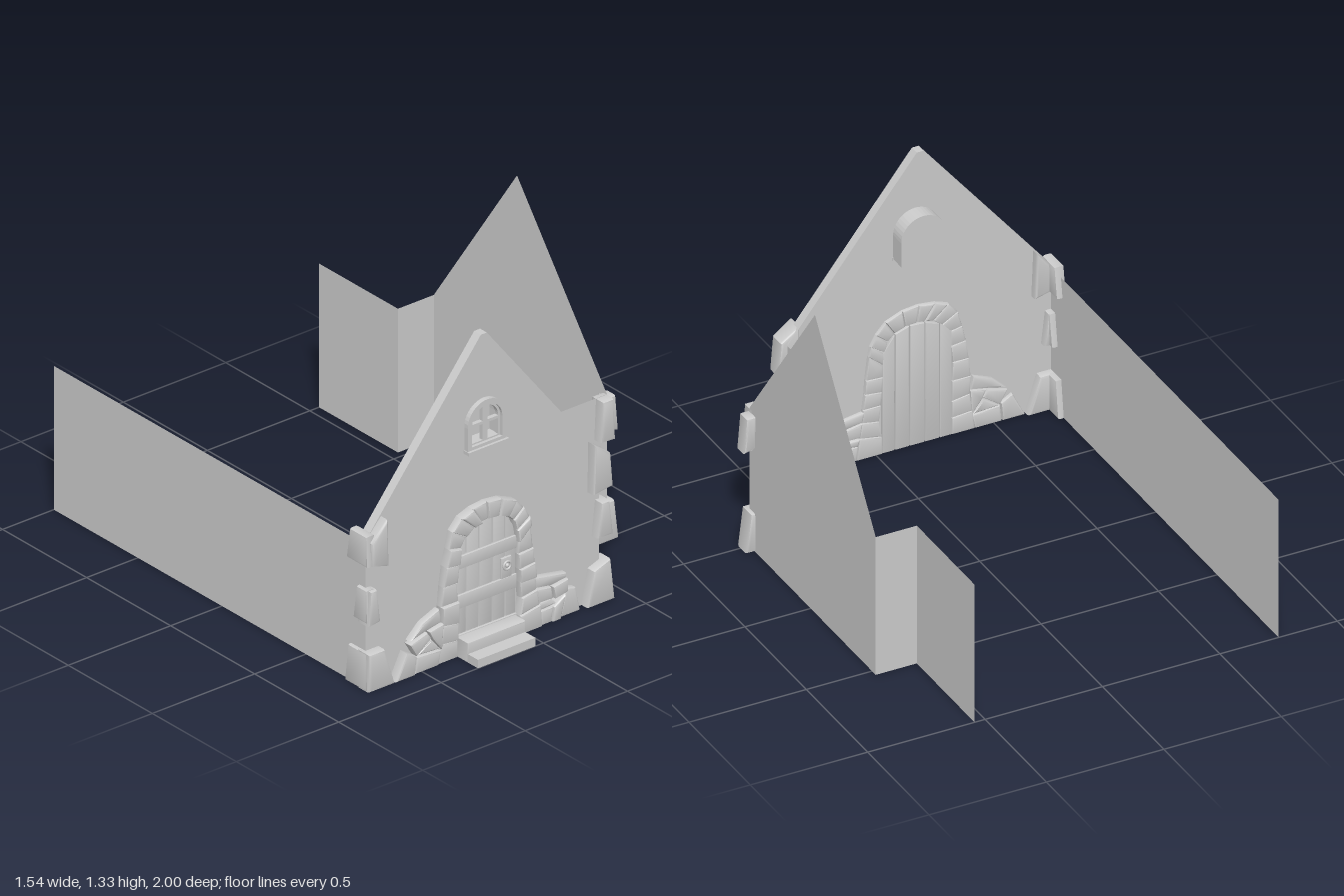
import * as THREE from 'three';
import { toCreasedNormals } from 'three/addons/utils/BufferGeometryUtils.js';

const solid = new THREE.MeshStandardMaterial({ color: 0xcccccc });
const thin = new THREE.MeshStandardMaterial({ color: 0xcccccc, side: THREE.DoubleSide });
const FACE = 0.855; // z of the facade

// Facade outlines use a fine drafting grid: 243 cells per unit, y down
const toUnits = ([x, y]) => new THREE.Vector2((x - 238) / 243, (386 - y) / 243);
const outline = (pts) => new THREE.Shape(pts.map(toUnits));

function add(parent, name, geometry, material = solid) {
  const mesh = new THREE.Mesh(geometry, material);
  mesh.name = name;
  parent.add(mesh);
  return mesh;
}

function box(parent, name, x0, x1, y0, y1, z0, z1) {
  const mesh = add(parent, name, new THREE.BoxGeometry(x1 - x0, y1 - y0, z1 - z0));
  mesh.position.set((x0 + x1) / 2, (y0 + y1) / 2, (z0 + z1) / 2);
  return mesh;
}

// Flat extrusion between two depths
function slab(parent, name, shape, z0, z1) {
  const g = new THREE.ExtrudeGeometry(shape, { depth: z1 - z0, bevelEnabled: false, curveSegments: 10 });
  return add(parent, name, g.translate(0, 0, z0));
}

// Stone with softened edges
function stone(parent, name, shape, z0, z1, b = 0.009) {
  const g = new THREE.ExtrudeGeometry(shape, {
    depth: z1 - z0 - 2 * b, bevelThickness: b, bevelSize: b, bevelOffset: -b, bevelSegments: 2,
  });
  return add(parent, name, toCreasedNormals(g.translate(0, 0, z0 + b), 0.7));
}

// Thin convex wall from its corners
function sheet(parent, name, corners) {
  const g = new THREE.BufferGeometry();
  g.setAttribute('position', new THREE.Float32BufferAttribute(corners.flat(), 3));
  const index = [];
  for (let i = 1; i < corners.length - 1; i++) index.push(0, i, i + 1);
  g.setIndex(index);
  g.computeVertexNormals();
  return add(parent, name, g, thin);
}

// Round-topped outline
function archPath(Type, cx, y0, spring, r) {
  const p = new Type();
  p.moveTo(cx - r, y0);
  p.lineTo(cx + r, y0);
  p.lineTo(cx + r, spring);
  p.absarc(cx, spring, r, 0, Math.PI, false);
  p.closePath();
  return p;
}

const WIN = { x: -0.173, y: 0.848, spring: 0.955, r: 0.095 };

function buildWalls(root) {
  const walls = new THREE.Group();
  walls.name = 'walls';
  root.add(walls);
  const roofline = [[-0.75, 0.63], [-0.187, 1.322], [-0.158, 1.322], [0.39, 0.625]];
  const facade = new THREE.Shape([[-0.75, 0], [0.39, 0], ...[...roofline].reverse()]
    .map(([x, y]) => new THREE.Vector2(x, y)));
  facade.holes.push(archPath(THREE.Path, WIN.x, WIN.y + 0.02, WIN.spring, WIN.r - 0.02));
  add(walls, 'facade', new THREE.ShapeGeometry(facade, 12).translate(0, 0, FACE), thin);
  for (let i = 0; i < 3; i++) {
    const [a, b] = [roofline[i], roofline[i + 1]];
    sheet(walls, 'facadeTopEdge', [[...a, FACE], [...b, FACE], [...b, 0.815], [...a, 0.815]]);
  }
  // Upright walls along the ground plan
  const H = 0.615;
  const upright = (name, x0, z0, x1, z1) =>
    sheet(walls, name, [[x0, 0, z0], [x1, 0, z1], [x1, H, z1], [x0, H, z0]]);
  upright('rightLongWall', -0.75, -1, -0.75, FACE);
  upright('leftFrontWall', 0.39, FACE, 0.39, 0.5);
  upright('wingFrontWall', 0.39, 0.5, 0.72, 0.5);
  upright('wingBackWall', 0.72, -0.53, 0.545, -0.53);
  upright('leftBackWall', 0.545, -0.53, 0.545, -1);
  sheet(walls, 'wingGable',
    [[0.72, 0, 0.5], [0.72, 0, -0.53], [0.72, H, -0.53], [0.72, 1.33, -0.035], [0.72, H, 0.5]]);
}

function buildDoor(root) {
  const door = new THREE.Group();
  door.name = 'door';
  root.add(door);
  // Planks with tops following the arch
  const tops = [[160, 272], [173, 261], [188, 256], [204, 255], [219, 260], [232, 277]];
  for (let i = 0; i < 5; i++) {
    const [a, b] = [tops[i], tops[i + 1]];
    const plank = outline([[a[0] + 0.5, 385], [b[0] - 0.5, 385], [b[0] - 0.5, b[1]], [a[0] + 0.5, a[1]]]);
    stone(door, 'doorPlank', plank, 0.838, 0.866, 0.003);
  }
  for (const [y0, y1] of [[284, 297], [324, 338], [365, 378]])
    stone(door, 'doorBrace', outline([[161, y1], [231, y1], [231, y0], [161, y0]]), 0.86, 0.876, 0.003);
  // Lock plate and ring handle
  stone(door, 'lockPlate', outline([[213, 324], [225, 324], [225, 303], [213, 303]]), 0.86, 0.876, 0.003);
  const ring = add(door, 'handleRing', new THREE.TorusGeometry(0.017, 0.005, 8, 20));
  ring.position.set(-0.078, 0.309, 0.879);
  const knob = add(door, 'handleKnob', new THREE.SphereGeometry(0.009, 12, 8));
  knob.position.set(-0.078, 0.309, 0.878);
  stone(door, 'upperStep', outline([[160, 385], [229, 385], [229, 366], [160, 366]]), 0.85, 0.94, 0.006);
  box(door, 'lowerStep', -0.32, -0.04, 0, 0.036, 0.86, 1);
}

function buildArch(root) {
  const arch = new THREE.Group();
  arch.name = 'doorArch';
  root.add(arch);
  // Joints as inner x, inner y, outer x, outer y
  const joints = [
    [160, 386, 136, 386], [160, 368, 138, 366], [160, 350, 141, 347], [160, 328, 140, 328],
    [159, 308, 142, 308], [161, 290, 145, 288], [163, 274, 149, 271], [170, 264, 153, 254],
    [179, 257, 163, 243], [188, 255, 177, 238], [196, 254, 194, 236], [208, 255, 211, 238],
    [219, 259, 228, 245], [226, 266, 238, 256], [229, 277, 244, 267], [231, 290, 246, 277],
    [231, 303, 249, 302], [232, 319, 250, 317], [233, 333, 252, 333], [235, 350, 253, 347],
    [232, 367, 256, 363], [231, 386, 258, 386],
  ];
  for (let i = 0; i < joints.length - 1; i++) {
    const [a, b, c, d] = joints[i], [e, f, g, h] = joints[i + 1];
    stone(arch, 'archStone', outline([[a, b], [e, f], [g, h], [c, d]]), 0.838, 0.886 + 0.006 * (i % 3));
  }
}

function buildRubble(root) {
  const rubble = new THREE.Group();
  rubble.name = 'rubble';
  root.add(rubble);
  [
    [[103, 351], [118, 337], [138, 329], [141, 343], [120, 347]],
    [[102, 354], [123, 348], [128, 355], [110, 368]],
    [[124, 347], [141, 344], [139, 370], [128, 356]],
    [[111, 368], [128, 356], [139, 370]],
    [[110, 369], [139, 371], [136, 386], [108, 386]],
    [[84, 386], [97, 360], [109, 367], [107, 386]],
    [[250, 335], [268, 338], [289, 342], [289, 347], [270, 349], [252, 346]],
    [[252, 347], [270, 350], [272, 362], [254, 362]],
    [[271, 350], [289, 347], [289, 360], [274, 363]],
    [[254, 363], [270, 363], [277, 369], [257, 371]],
    [[257, 371], [272, 371], [270, 386], [258, 386]],
    [[272, 371], [286, 361], [280, 386], [271, 386]],
    [[280, 386], [288, 358], [300, 361], [305, 386]],
  ].forEach((p, i) => stone(rubble, 'rubbleStone', outline(p), 0.838, 0.885 + 0.006 * (i % 3)));
}

function buildCornerStones(root) {
  const corners = new THREE.Group();
  corners.name = 'cornerStones';
  root.add(corners);
  // Facade corners
  for (const p of [
    [[56, 233], [74, 213], [76, 262], [57, 257]],
    [[54, 282], [62, 282], [66, 316], [52, 318]],
    [[52, 347], [71, 347], [83, 386], [52, 386]],
    [[320, 219], [339, 233], [342, 268], [319, 271]],
    [[328, 282], [338, 282], [342, 318], [324, 318]],
    [[319, 350], [339, 343], [344, 386], [312, 386]],
  ]) stone(corners, 'facadeCornerStone', outline(p), 0.82, 0.898, 0.012);
  // Returns along the right wall: height range and back edge
  for (const [y0, y1, z] of [[0.53, 0.66, 0.76], [0.29, 0.43, 0.8], [0, 0.16, 0.75]]) {
    const s = new THREE.Shape([[z, y0], [0.885, y0], [0.88, y1], [z + 0.02, y1]]
      .map(([a, b]) => new THREE.Vector2(a, b)));
    stone(corners, 'sideCornerStone', s, 0.725, 0.768).rotation.y = -Math.PI / 2;
  }
  // Wing corner
  stone(corners, 'wingCornerStone', outline([[400, 237], [413, 237], [415, 280], [398, 279]]), 0.47, 0.545, 0.012);
  stone(corners, 'wingCornerStone', outline([[412, 240], [422, 240], [425, 277], [413, 274]]), 0.447, 0.51, 0.01);
  stone(corners, 'wingCornerStone', outline([[400, 345], [417, 345], [422, 386], [389, 386]]), 0.45, 0.53, 0.012);
}

function buildWindow(root) {
  const win = new THREE.Group();
  win.name = 'window';
  root.add(win);
  const { x, y, spring, r } = WIN;
  const ring = (outer, inner) => {
    const s = archPath(THREE.Shape, x, y + 0.095 - outer, spring, outer);
    s.holes.push(archPath(THREE.Path, x, y + 0.095 - inner, spring, inner));
    return s;
  };
  slab(win, 'windowBack', archPath(THREE.Shape, x, y, spring, r), 0.788, 0.793);
  slab(win, 'windowBox', ring(r, 0.08), 0.79, 0.86);
  slab(win, 'windowFrame', ring(r, 0.074), FACE, 0.876);
  // Casement with two square and two curved panes
  const casement = archPath(THREE.Shape, x, y + 0.02, spring, 0.076);
  for (const s of [-1, 1]) {
    const a = x + s * 0.012, b = x + s * 0.064;
    const lower = new THREE.Path([[a, 0.875], [b, 0.875], [b, 0.943], [a, 0.943]]
      .map((p) => new THREE.Vector2(...p)));
    const upper = [new THREE.Vector2(a, 0.955)];
    for (let i = 0; i <= 8; i++) {
      const t = (i / 8) * Math.acos(0.012 / 0.064);
      upper.push(new THREE.Vector2(x + s * 0.064 * Math.cos(t), 0.955 + 0.064 * Math.sin(t)));
    }
    casement.holes.push(lower, new THREE.Path(upper));
  }
  slab(win, 'casement', casement, 0.845, 0.863);
  box(win, 'windowSill', x - 0.098, x + 0.098, 0.842, 0.856, 0.85, 0.887);
}

export function createModel() {
  const root = new THREE.Group();
  root.name = 'cottageFront';
  for (const build of [buildWalls, buildDoor, buildArch, buildRubble, buildCornerStones, buildWindow]) build(root);
  return root;
}
